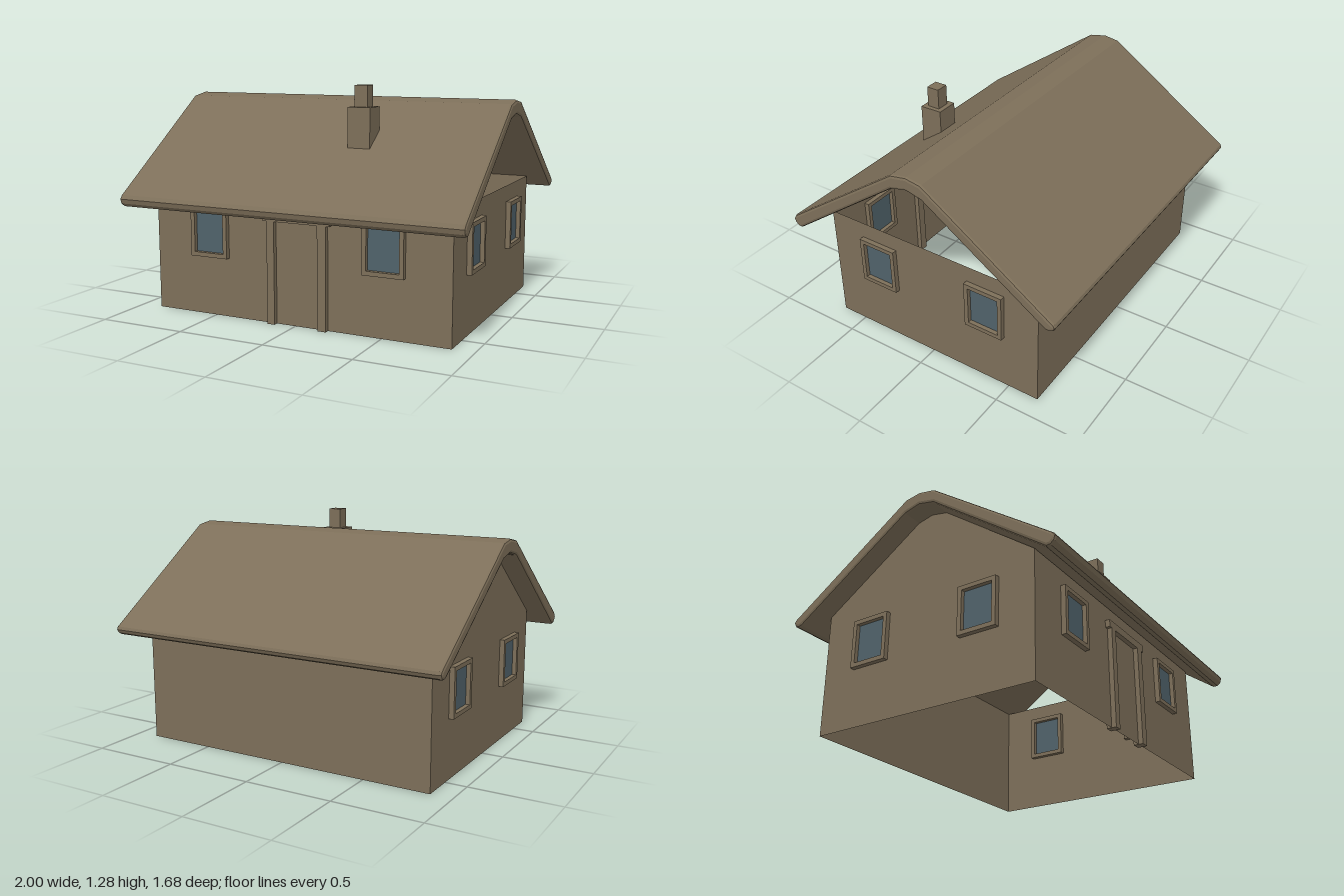
import * as THREE from 'three';

const timber = new THREE.MeshStandardMaterial({ color: 0x7d6f59, side: THREE.DoubleSide });
timber.name = 'brown timber';
const glass = new THREE.MeshStandardMaterial({ color: 0x50626a });
glass.name = 'blue grey glass';

const X = 0.88, FRONT = 0.655, BACK = -0.68, EAVE = 0.695;

// Outline given as [z, y] points, seen from the +x side
const sideShape = (pts) => new THREE.Shape(pts.map(([z, y]) => new THREE.Vector2(-z, y)));

function add(parent, name, geometry, material = timber) {
  const mesh = new THREE.Mesh(geometry, material);
  mesh.name = name;
  parent.add(mesh);
  return mesh;
}

function addBox(parent, name, [x0, x1], [y0, y1], [z0, z1], material) {
  const mesh = add(parent, name, new THREE.BoxGeometry(x1 - x0, y1 - y0, z1 - z0), material);
  mesh.position.set((x0 + x1) / 2, (y0 + y1) / 2, (z0 + z1) / 2);
  return mesh;
}

function makeWalls() {
  const walls = new THREE.Group();
  walls.name = 'walls';
  for (const [name, z, turn] of [['frontWall', FRONT, 0], ['backWall', BACK, Math.PI]]) {
    const wall = add(walls, name, new THREE.PlaneGeometry(2 * X, EAVE));
    wall.position.set(0, EAVE / 2, z);
    wall.rotation.y = turn;
  }
  // Left end stops at the eaves, leaving the loft open
  const left = add(walls, 'leftWall', new THREE.PlaneGeometry(FRONT - BACK, EAVE));
  left.position.set(X, EAVE / 2, (FRONT + BACK) / 2);
  left.rotation.y = Math.PI / 2;
  // Right end rises to the ridge
  const gable = new THREE.ShapeGeometry(new THREE.Shape([
    [BACK, 0], [FRONT, 0], [FRONT, EAVE], [0.106, 1.1], [0.01, 1.12], [-0.08, 1.1], [BACK, EAVE],
  ].map(([z, y]) => new THREE.Vector2(z, y))));
  const right = add(walls, 'rightGableWall', gable);
  right.position.x = -X;
  right.rotation.y = -Math.PI / 2;
  return walls;
}

function makeRoof() {
  // Thick folded slab with rounded eaves
  const shape = sideShape([
    [0.828, 0.667], [0.843, 0.645], [0.836, 0.62], [0.815, 0.602], [0.79, 0.6],
    [0.106, 1.1], [0.01, 1.122], [-0.08, 1.1],
    [-0.785, 0.628], [-0.81, 0.624], [-0.832, 0.635], [-0.842, 0.655], [-0.835, 0.672],
    [-0.08, 1.184], [0.01, 1.198], [0.106, 1.18],
  ]);
  const bevel = 0.015;
  const geometry = new THREE.ExtrudeGeometry(shape, {
    depth: 2 - 2 * bevel, bevelThickness: bevel, bevelSize: 0.015, bevelOffset: -0.015, bevelSegments: 2,
  });
  geometry.translate(0, 0, -1 + bevel);
  geometry.rotateY(Math.PI / 2);
  const roof = new THREE.Mesh(geometry, timber);
  roof.name = 'roof';
  return roof;
}

// Window centred on the wall plane, its frame standing out on both sides
function makeWindow(name, x, z, turn) {
  const g = new THREE.Group();
  g.name = name;
  const w = 0.115, h = 0.136, b = 0.024, d = 0.028;
  const frame = new THREE.Shape([[-w, -h], [w, -h], [w, h], [-w, h]].map((p) => new THREE.Vector2(...p)));
  const iw = w - b, ih = h - b;
  frame.holes.push(new THREE.Path([[-iw, -ih], [-iw, ih], [iw, ih], [iw, -ih]].map((p) => new THREE.Vector2(...p))));
  const geometry = new THREE.ExtrudeGeometry(frame, { depth: 2 * d, bevelEnabled: false });
  add(g, 'windowFrame', geometry.translate(0, 0, -d));
  addBox(g, 'windowPane', [-iw, iw], [-ih, ih], [-0.004, 0.004], glass);
  g.position.set(x, 0.466, z);
  g.rotation.y = turn;
  return g;
}

function makeDoorway() {
  const g = new THREE.Group();
  g.name = 'doorway';
  const z = [FRONT - 0.028, FRONT + 0.027];
  addBox(g, 'doorPost', [-0.157, -0.113], [0, 0.565], z);
  addBox(g, 'doorPost', [0.145, 0.195], [0, 0.565], z);
  addBox(g, 'doorLintel', [-0.178, 0.216], [0.563, 0.605], z);
  return g;
}

function makeChimney() {
  const g = new THREE.Group();
  g.name = 'chimney';
  addBox(g, 'chimneyStack', [0.203, 0.332], [0.815, 1.162], [0.308, 0.436]);
  addBox(g, 'chimneyPot', [0.23, 0.305], [1.15, 1.277], [0.336, 0.409]);
  return g;
}

export function createModel() {
  const house = new THREE.Group();
  house.name = 'cottage';
  house.add(makeWalls(), makeRoof(), makeDoorway(), makeChimney());
  for (const x of [-0.525, 0.515]) house.add(makeWindow('frontWindow', x, FRONT, 0));
  for (const side of [-1, 1]) {
    for (const z of [0.333, -0.36]) house.add(makeWindow('sideWindow', side * X, z, side * Math.PI / 2));
  }
  return house;
}
